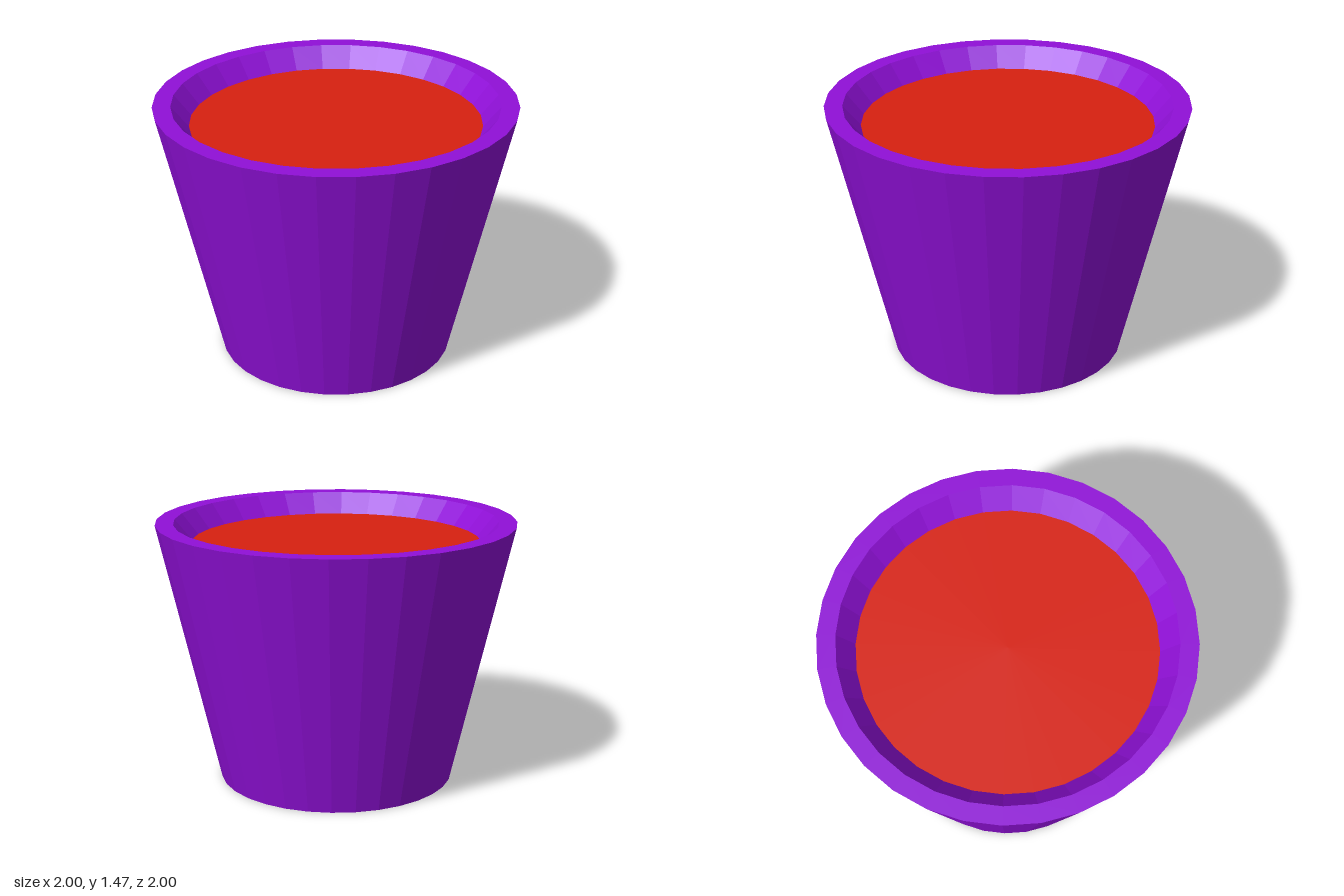
import * as THREE from 'three';

const SIDES = 32;
const HEIGHT = 1.47;
const FILL_Y = 1.355;
const FILL_RADIUS = 0.805;

export function createModel() {
  const group = new THREE.Group();
  group.name = 'filledCup';

  // Cup: base, tapered outer wall, flat rim and bevelled inner lip
  const profile = [
    [0, 0], [0.66, 0], [1, HEIGHT], [0.9, HEIGHT], [FILL_RADIUS, FILL_Y],
  ].map(([r, y]) => new THREE.Vector2(r, y));
  const cup = new THREE.Mesh(
    new THREE.LatheGeometry(profile, SIDES),
    new THREE.MeshStandardMaterial({ color: 0x9010d8, flatShading: true }),
  );
  cup.name = 'cup';
  group.add(cup);

  // Flat surface of the contents, closing the lip
  const contents = new THREE.Mesh(
    new THREE.CircleGeometry(FILL_RADIUS, SIDES).rotateX(-Math.PI / 2),
    new THREE.MeshStandardMaterial({ color: 0xd82010, flatShading: true }),
  );
  contents.name = 'contents';
  contents.position.y = FILL_Y;
  group.add(contents);

  return group;
}
